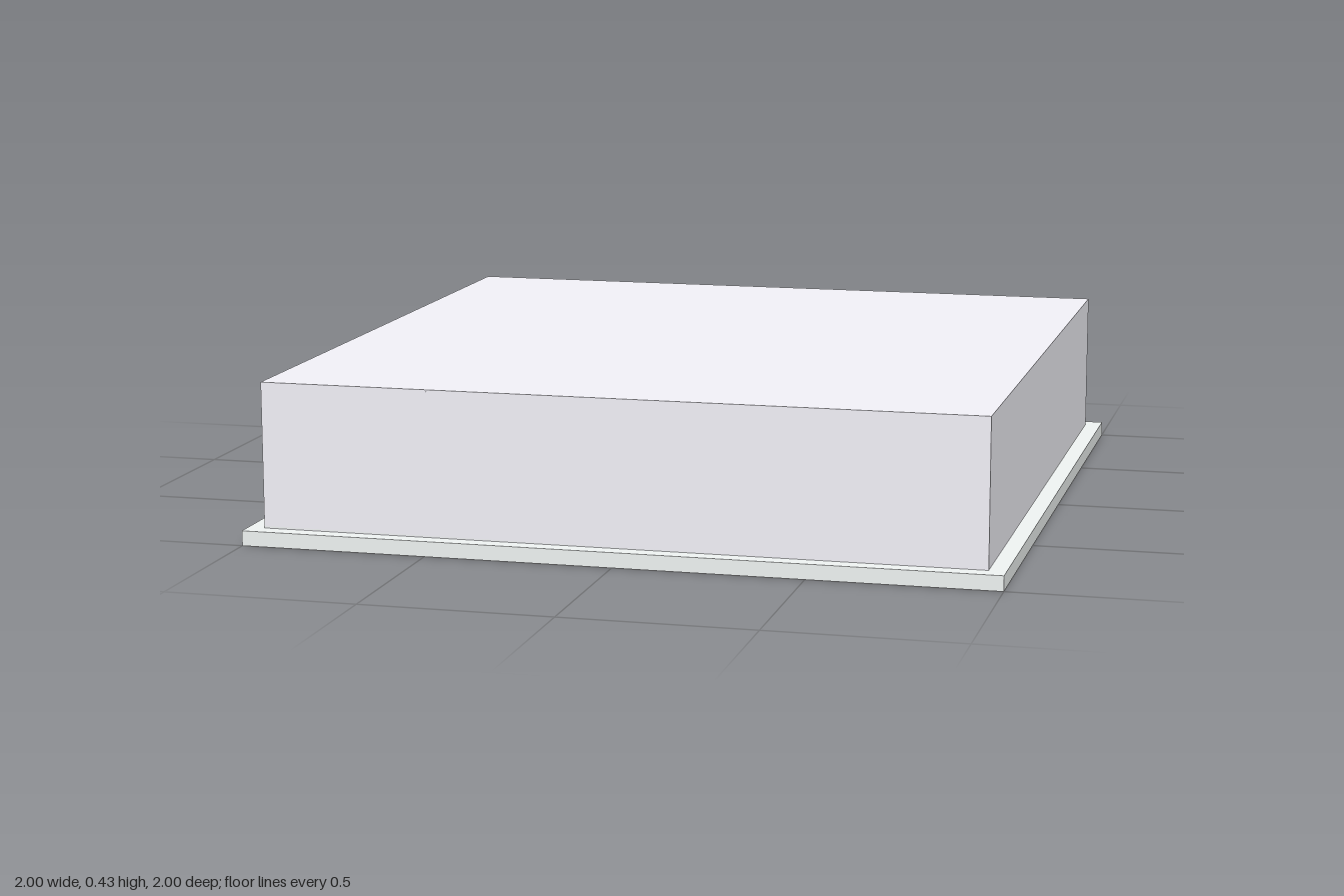
import * as THREE from 'three';

const housingPaint = new THREE.MeshStandardMaterial({ color: 0xf3f2f9 });
const flangePaint = new THREE.MeshStandardMaterial({ color: 0xf0f4f3 });
const reflectorSheet = new THREE.MeshStandardMaterial({ color: 0xcccccc, side: THREE.DoubleSide });
const basketSheet = new THREE.MeshStandardMaterial({ color: 0xe4e4e4, side: THREE.DoubleSide });

function add(parent, name, geometry, material) {
  const mesh = new THREE.Mesh(geometry, material);
  mesh.name = name;
  parent.add(mesh);
  return mesh;
}

// Flat square ring between two half-widths, standing from y0 to y1
function squareRing(outer, inner, y0, y1) {
  const square = (Type, h) => new Type([[-h, -h], [h, -h], [h, h], [-h, h]].map(([x, y]) => new THREE.Vector2(x, y)));
  const shape = square(THREE.Shape, outer);
  shape.holes.push(square(THREE.Path, inner));
  const geometry = new THREE.ExtrudeGeometry(shape, { depth: y1 - y0, bevelEnabled: false });
  return geometry.rotateX(-Math.PI / 2).translate(0, y0, 0);
}

// Thin sheet with an x-y cross-section, running along z
function sweptSheet(profile, halfLength) {
  const n = profile.length - 1;
  const geometry = new THREE.PlaneGeometry(1, 1, n, 1);
  const pos = geometry.attributes.position;
  for (let i = 0; i < pos.count; i++) {
    const p = profile[i % (n + 1)];
    pos.setXYZ(i, p.x, p.y, i <= n ? -halfLength : halfLength);
  }
  geometry.computeVertexNormals();
  return geometry;
}

export function createModel() {
  const group = new THREE.Group();
  group.name = 'recessedCeilingLight';
  const half = 0.955, top = 0.428, rim = 0.04, wall = 0.005;

  // Housing: open-bottomed box
  const housing = new THREE.Group();
  housing.name = 'housing';
  group.add(housing);
  add(housing, 'housingWalls', squareRing(half, half - wall, rim, top - wall), housingPaint);
  add(housing, 'housingTop', new THREE.BoxGeometry(half * 2, wall, half * 2), housingPaint).position.y = top - wall / 2;

  // Ceiling flange and the narrow ledge inside it
  add(group, 'flange', squareRing(1, half, 0, rim), flangePaint);
  add(group, 'innerLedge', squareRing(half, 0.93, rim, rim + 0.005), flangePaint);

  // Pair of arched reflectors meeting at a cusp in the middle
  const arch = new THREE.SplineCurve([
    [0.93, 0.045], [0.84, 0.145], [0.73, 0.255], [0.6, 0.35], [0.46, 0.39],
    [0.3, 0.388], [0.15, 0.355], [0, 0.305],
  ].map(([x, y]) => new THREE.Vector2(x, y))).getPoints(36);
  for (const side of [1, -1]) {
    const profile = arch.map((p) => new THREE.Vector2(p.x * side, p.y));
    add(group, side > 0 ? 'leftReflector' : 'rightReflector', sweptSheet(profile, half - wall), reflectorSheet);
  }

  // Shallow curved diffuser basket hanging below the reflectors
  const radius = 0.76, spread = Math.asin(0.517 / radius);
  const basket = Array.from({ length: 33 }, (_, i) => {
    const a = spread * (i / 16 - 1);
    return new THREE.Vector2(radius * Math.sin(a), 0.04 + radius * (1 - Math.cos(a)));
  });
  add(group, 'diffuserBasket', sweptSheet(basket, 0.9), basketSheet);

  return group;
}
